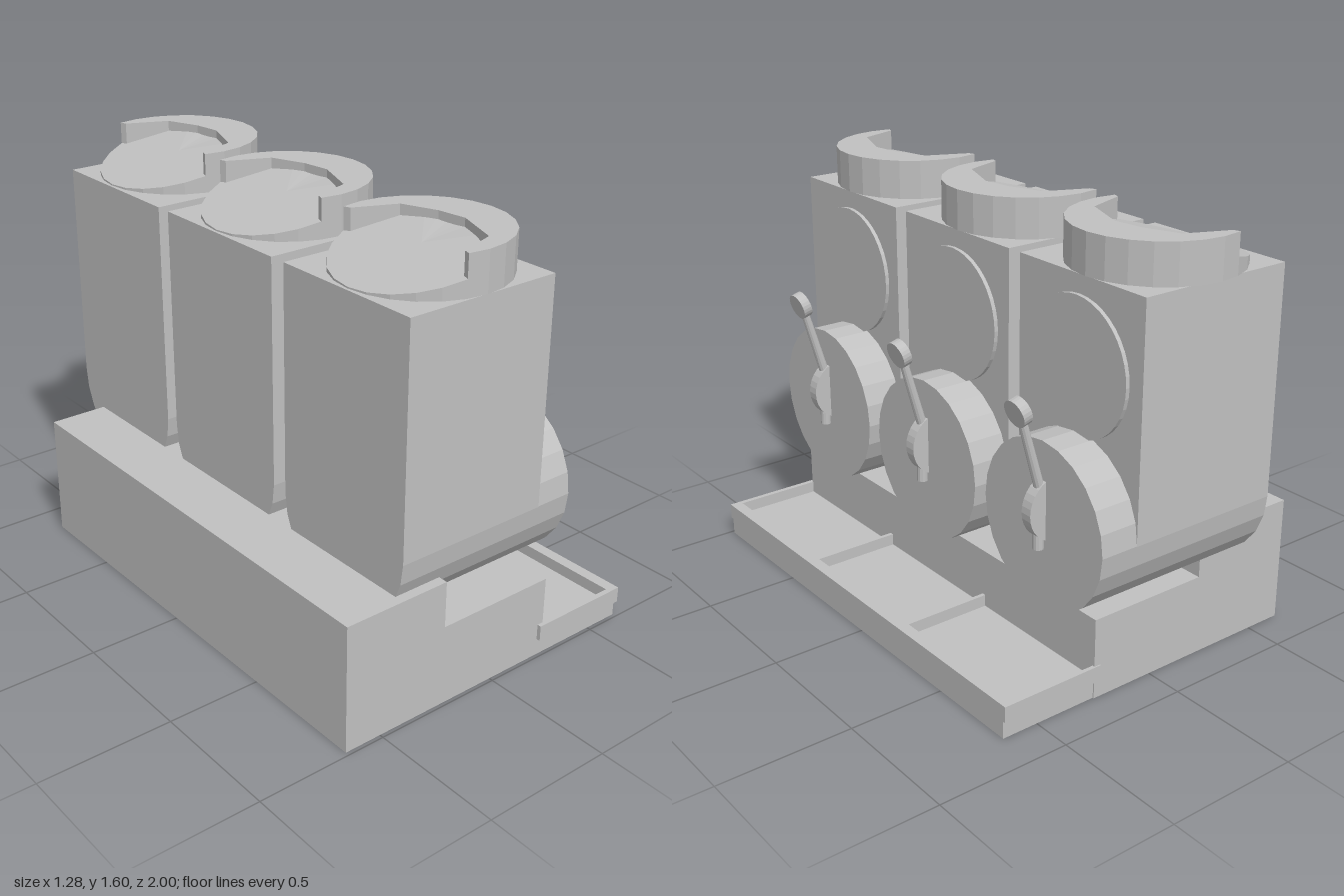
import * as THREE from 'three';

const grey = new THREE.MeshStandardMaterial({ color: 0xc0c0c0, flatShading: true });
grey.name = 'light grey';

function add(parent, name, geometry) {
  const mesh = new THREE.Mesh(geometry, grey);
  mesh.name = name;
  parent.add(mesh);
  return mesh;
}

// Box given by its limits on each axis
function box(x0, x1, y0, y1, z0, z1) {
  return new THREE.BoxGeometry(x1 - x0, y1 - y0, z1 - z0)
    .translate((x0 + x1) / 2, (y0 + y1) / 2, (z0 + z1) / 2);
}

// Cylinder lying along x
function drum(x0, x1, y, r, sides = 24) {
  return new THREE.CylinderGeometry(r, r, x1 - x0, sides)
    .rotateZ(-Math.PI / 2).translate((x0 + x1) / 2, y, 0);
}

// Plan outline in (x, z), raised from y0 to y1
function slab(shape, y0, y1) {
  return new THREE.ExtrudeGeometry(shape, { depth: y1 - y0, bevelEnabled: false })
    .rotateX(Math.PI / 2).translate(0, y1, 0);
}

function rect(x0, x1, z0, z1) {
  return [[x0, z0], [x1, z0], [x1, z1], [x0, z1]].map(p => new THREE.Vector2(...p));
}

function createBase() {
  const base = new THREE.Group();
  base.name = 'base';
  add(base, 'rearHousing', box(-0.645, -0.225, 0, 0.48, -0.855, 0.985));
  add(base, 'frontHousing', box(-0.225, 0.255, 0, 0.305, -0.855, 0.985));
  add(base, 'trayFoot', box(0.255, 0.64, 0, 0.065, -0.85, 0.985));
  add(base, 'trayFloor', box(0.23, 0.64, 0.065, 0.08, -0.86, 1));
  // Rim with three drip compartments
  const rim = new THREE.Shape(rect(0.23, 0.64, -0.86, 1));
  for (const [z0, z1] of [[-0.845, -0.245], [-0.23, 0.365], [0.38, 0.98]]) {
    rim.holes.push(new THREE.Path(rect(0.245, 0.595, z0, z1)));
  }
  add(base, 'trayRim', slab(rim, 0.08, 0.125));
  return base;
}

function createLid() {
  const lid = new THREE.Group();
  lid.name = 'lid';
  const r = 0.302, bottom = 1.45, top = 1.595;
  // Sloping floor
  const wedge = new THREE.CylinderGeometry(r, r, 1, 24);
  const p = wedge.attributes.position;
  for (let i = 0; i < p.count; i++) {
    const slope = Math.min(top, 1.455 + 0.26 * (p.getX(i) + r));
    p.setY(i, p.getY(i) > 0 ? slope : bottom);
  }
  add(lid, 'lidFloor', wedge);
  // Crescent wall around the front half
  const outline = [];
  for (let k = -7; k <= 7; k++) {
    const a = k * Math.PI / 12;
    outline.push(new THREE.Vector2(r * Math.cos(a), r * Math.sin(a)));
  }
  for (const q of [[-0.07, 0.267], [0.08, 0.215], [0.148, 0.04], [0.135, -0.07], [0.085, -0.2], [-0.07, -0.267]]) {
    outline.push(new THREE.Vector2(...q));
  }
  add(lid, 'lidWall', slab(new THREE.Shape(outline), bottom, top));
  return lid;
}

function createTap() {
  const tap = new THREE.Group();
  tap.name = 'tap';
  add(tap, 'tapBody', new THREE.CylinderGeometry(0.12, 0.12, 0.045, 32)
    .rotateX(Math.PI / 2).translate(0.288, 0.67, 0));
  add(tap, 'spout', new THREE.CylinderGeometry(0.02, 0.02, 0.07, 12).translate(0.355, 0.565, 0));
  // Lever and knob lean forward together
  const lever = new THREE.Group();
  lever.name = 'lever';
  lever.position.set(0.352, 0.75, 0);
  lever.rotation.z = -0.28;
  add(lever, 'leverRod', new THREE.CylinderGeometry(0.015, 0.018, 0.3, 12).translate(0, 0.15, 0));
  add(lever, 'knob', drum(-0.013, 0.022, 0.305, 0.05));
  tap.add(lever);
  return tap;
}

function createDispenser() {
  const unit = new THREE.Group();
  unit.name = 'dispenser';
  add(unit, 'tank', box(-0.415, 0.195, 0.61, 1.45, -0.305, 0.305));
  add(unit, 'drum', drum(-0.415, 0.342, 0.612, 0.305));
  add(unit, 'roundPanel', drum(0.19, 0.21, 1.14, 0.245, 40));
  unit.add(createTap());
  return unit;
}

export function createModel() {
  const model = new THREE.Group();
  model.name = 'drinkDispenser';
  model.add(createBase());
  // Three dispensers in a row, with lids spaced slightly wider
  [[-0.67, -0.698], [0, -0.02], [0.675, 0.68]].forEach(([z, lidZ]) => {
    const unit = createDispenser();
    unit.position.z = z;
    const lid = createLid();
    lid.position.set(-0.103, 0, lidZ);
    model.add(unit, lid);
  });
  return model;
}
